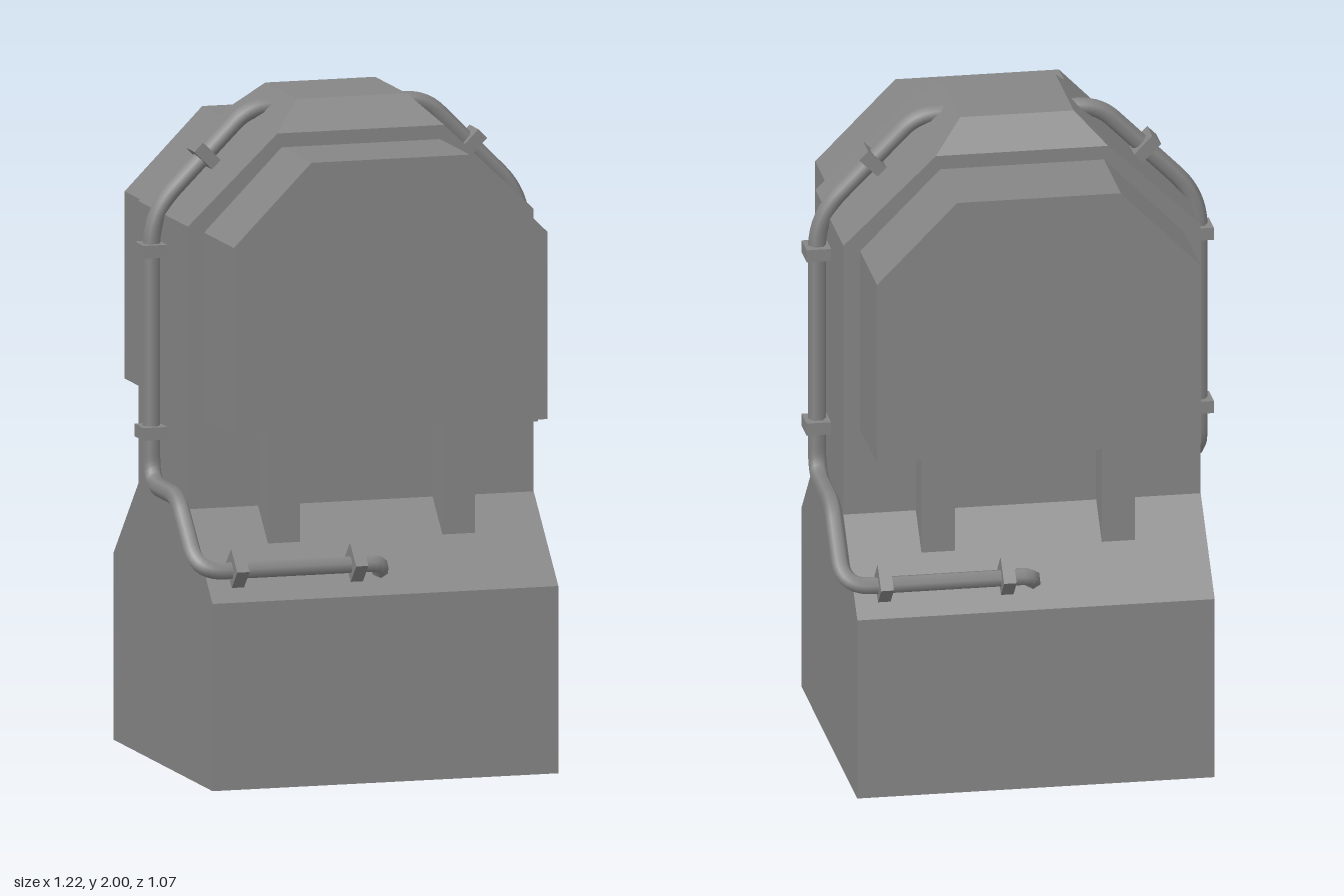
import * as THREE from 'three';

const COLOR = 0x868686;
const material = new THREE.MeshStandardMaterial({ color: COLOR, flatShading: true, side: THREE.DoubleSide });
const smooth = new THREE.MeshStandardMaterial({ color: COLOR });

function addMesh(parent, name, geometry, mat = material) {
  const mesh = new THREE.Mesh(geometry, mat);
  mesh.name = name;
  parent.add(mesh);
  return mesh;
}

// Flat-faced shell from convex polygons, corners counter-clockwise
function shell(polygons) {
  const pos = [];
  for (const p of polygons)
    for (let i = 1; i < p.length - 1; i++) pos.push(...p[0], ...p[i], ...p[i + 1]);
  const g = new THREE.BufferGeometry();
  g.setAttribute('position', new THREE.Float32BufferAttribute(pos, 3));
  g.computeVertexNormals();
  return g;
}

// Main body: stacked rectangular rings [half width, half depth, height], open below
function bodyGeometry() {
  const rings = [
    [0.535, 0.485, 0], [0.535, 0.485, 0.56], [0.535, 0.243, 0.805],
    [0.535, 0.243, 1.65], [0.258, 0.243, 1.915], [0.17, 0.155, 2],
  ].map(([x, z, y]) => [[x, y, z], [x, y, -z], [-x, y, -z], [-x, y, z]]);
  const faces = [rings[rings.length - 1]];
  for (let r = 0; r < rings.length - 1; r++)
    for (let i = 0; i < 4; i++) {
      const j = (i + 1) % 4;
      faces.push([rings[r][i], rings[r][j], rings[r + 1][j], rings[r + 1][i]]);
    }
  return shell(faces);
}

// Hood: bevelled front panel with walls running back to the body, open below
function hoodGeometry() {
  const outline = [[-0.485, 1.07], [0.485, 1.07], [0.485, 1.63], [0.245, 1.873], [-0.245, 1.873], [-0.485, 1.63]];
  const front = outline.map(([x, y]) => [x, y, 0.535]);
  const back = outline.map(([x, y]) => [x, y, 0.243]);
  const faces = [front];
  for (let i = 1; i < 6; i++) {
    const j = (i + 1) % 6;
    faces.push([front[i], back[i], back[j], front[j]]);
  }
  return shell(faces);
}

// Strut with its foot cut to the slope of the base
function strutGeometry() {
  const side = new THREE.Shape([[0.243, 0.805], [0.34, 0.707], [0.34, 1.07], [0.243, 1.07]]
    .map(([z, y]) => new THREE.Vector2(z, y)));
  const g = new THREE.ExtrudeGeometry(side, { depth: 0.1, bevelEnabled: false });
  return g.translate(0, 0, -0.05).rotateY(-Math.PI / 2);
}

// Pipe path: straight runs joined by rounded corners [x, y, z, corner radius]
function pipePath(points) {
  const path = new THREE.CurvePath();
  const v = points.map(([x, y, z]) => new THREE.Vector3(x, y, z));
  let from = v[0];
  for (let i = 1; i < v.length - 1; i++) {
    const r = points[i][3];
    const a = v[i].clone().add(v[i - 1].clone().sub(v[i]).setLength(r));
    const b = v[i].clone().add(v[i + 1].clone().sub(v[i]).setLength(r));
    path.add(new THREE.LineCurve3(from, a));
    path.add(new THREE.QuadraticBezierCurve3(a, v[i], b));
    from = b;
  }
  path.add(new THREE.LineCurve3(from, v[v.length - 1]));
  return path;
}

// Everything on the front half; the back is the same turned half a circle
function createHalf(name, pipeShift) {
  const half = new THREE.Group();
  half.name = name;
  addMesh(half, 'hood', hoodGeometry());
  for (const x of [-0.268, 0.272]) addMesh(half, 'strut', strutGeometry()).position.x = x;

  const pipework = new THREE.Group();
  pipework.name = 'pipework';
  pipework.position.z = pipeShift;
  half.add(pipework);

  // Six-sided pipe; the tiny z offset at its start turns a ridge to the top
  const z = -0.007;
  const path = pipePath([
    [-0.17, 1.955, z + 0.002], [-0.27, 1.955, z, 0.06], [-0.57, 1.655, z, 0.1], [-0.57, 0.845, z, 0.08],
    [-0.57, 0.845, 0.25, 0.06], [-0.57, 0.65, 0.445, 0.085], [0, 0.65, 0.445, 0.03], [0, 0.59, 0.385],
  ]);
  addMesh(pipework, 'pipe', new THREE.TubeGeometry(path, 140, 0.027, 6), smooth);

  // Clamps: position, then turn about x and z
  const clamps = [
    [-0.41, 1.823, z, 0, -Math.PI / 4],
    [-0.57, 1.545, z, 0, 0],
    [-0.57, 1.0, z, 0, 0],
    [-0.448, 0.658, 0.45, Math.PI / 4, Math.PI / 2],
    [-0.08, 0.658, 0.45, Math.PI / 4, Math.PI / 2],
  ];
  for (const [x, y, cz, rx, rz] of clamps) {
    const clamp = addMesh(pipework, 'clamp', new THREE.BoxGeometry(0.077, 0.038, 0.087));
    clamp.position.set(x, y, cz);
    clamp.rotation.set(rx, 0, rz);
  }
  return half;
}

export function createModel() {
  const model = new THREE.Group();
  model.name = 'machineHousing';
  addMesh(model, 'body', bodyGeometry());
  model.add(createHalf('frontHalf', 0.004));
  const back = createHalf('backHalf', -0.004);
  back.rotation.y = Math.PI;
  model.add(back);
  return model;
}
